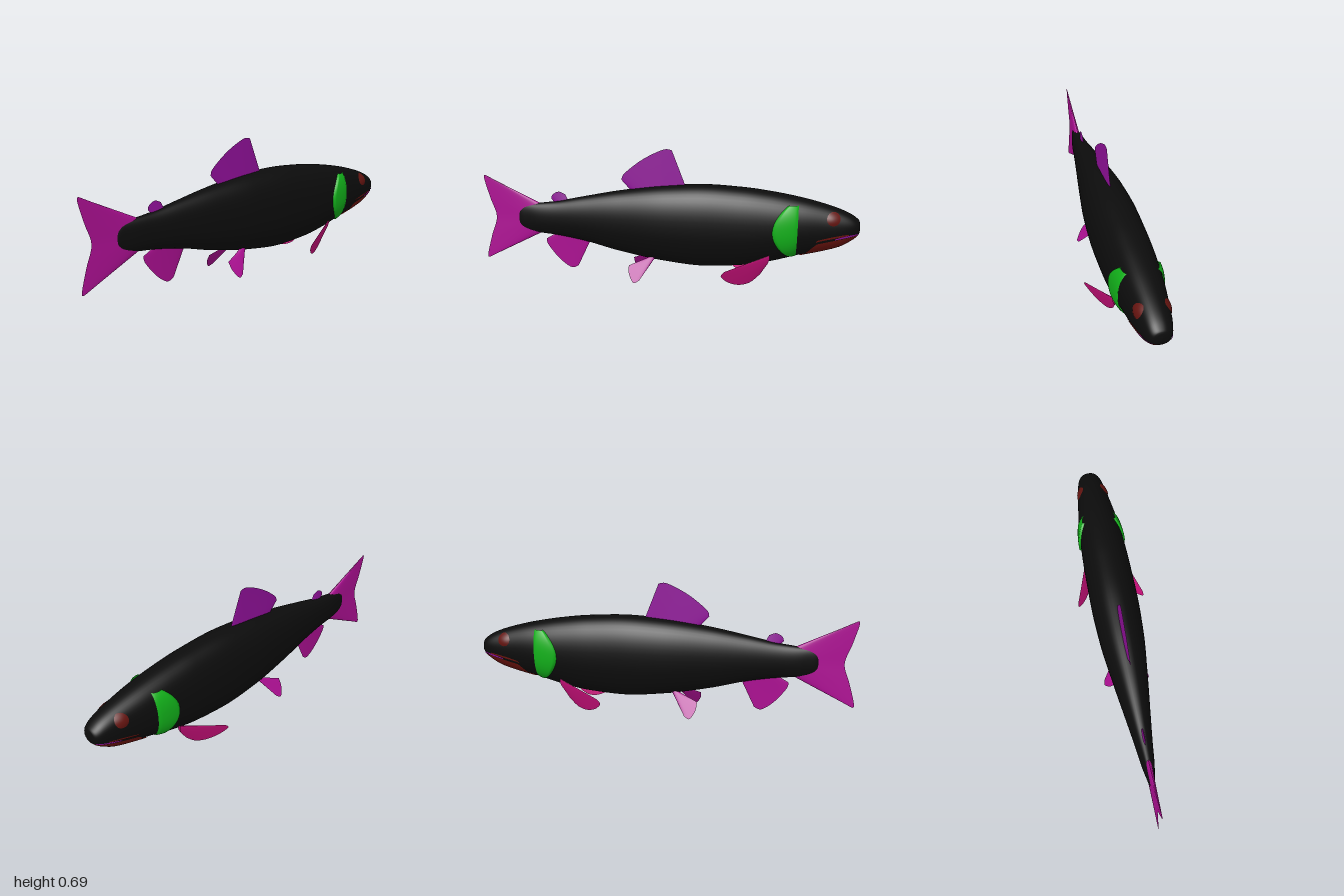
import * as THREE from 'three';
import { mergeGeometries, mergeVertices } from 'three/addons/utils/BufferGeometryUtils.js';

const paint = (name, color) => {
  const m = new THREE.MeshStandardMaterial({ color, side: THREE.DoubleSide });
  m.name = name;
  return m;
};

// Body stations: z, top, bottom, height of the widest point, half width
const STATIONS = [
  [-1, .315, .305, .31, 0], [-.995, .345, .28, .31, .035], [-.98, .36, .262, .31, .052],
  [-.95, .38, .24, .31, .065], [-.9, .402, .212, .308, .077], [-.82, .428, .188, .306, .09],
  [-.7, .458, .16, .305, .107], [-.55, .485, .118, .3, .12], [-.4, .503, .09, .3, .126],
  [-.2, .513, .077, .305, .128], [0, .502, .095, .305, .12], [.25, .468, .14, .305, .092],
  [.45, .43, .19, .305, .065], [.6, .4, .215, .305, .045], [.7, .387, .225, .305, .033],
  [.76, .38, .235, .305, .022], [.8, .36, .255, .305, .013], [.82, .306, .304, .305, 0],
];
const POWER = 2.25;

// Smooth interpolation of the stations, without overshoot
function station(z) {
  const S = STATIONS, last = S.length - 1;
  let i = 0;
  while (i < last - 1 && z > S[i + 1][0]) i++;
  const h = S[i + 1][0] - S[i][0];
  const t = THREE.MathUtils.clamp((z - S[i][0]) / h, 0, 1);
  const secant = (j, k) => (S[j + 1][k] - S[j][k]) / (S[j + 1][0] - S[j][0]);
  const slope = (j, k) => {
    if (j === 0) return secant(0, k);
    if (j === last) return secant(last - 1, k);
    const a = secant(j - 1, k), b = secant(j, k);
    return a * b > 0 ? (2 * a * b) / (a + b) : 0;
  };
  return [1, 2, 3, 4].map((k) =>
    S[i][k] * (2 * t ** 3 - 3 * t * t + 1) + S[i + 1][k] * (3 * t * t - 2 * t ** 3) +
    h * (slope(i, k) * (t ** 3 - 2 * t * t + t) + slope(i + 1, k) * (t ** 3 - t * t)));
}

const bend = (v) => Math.sign(v) * Math.abs(v) ** (2 / POWER);

// Point on a body cross-section; angle 0 is the belly, PI the back
function section(z, angle, grow = 1) {
  const [top, bottom, mid, width] = station(z);
  const c = Math.cos(angle);
  return [width * bend(Math.sin(angle)) * grow,
    mid - (c > 0 ? mid - bottom : top - mid) * bend(c) * grow, z];
}

// Half width of the body at a side position
function skin(z, y) {
  const [top, bottom, mid, width] = station(z);
  const k = Math.min(1, Math.abs(y - mid) / (y > mid ? top - mid : mid - bottom));
  return width * (1 - k ** POWER) ** (1 / POWER);
}

// Grid surface from a rule (u, v) -> [x, y, z]
function sheet(nu, nv, rule) {
  const g = new THREE.PlaneGeometry(1, 1, nu, nv), p = g.attributes.position;
  for (let i = 0; i < p.count; i++) p.setXYZ(i, ...rule(p.getX(i) + .5, p.getY(i) + .5));
  g.deleteAttribute('uv');
  g.deleteAttribute('normal');
  const merged = mergeVertices(g, 1e-5);
  merged.computeVertexNormals();
  return merged;
}

// Thin fin spanned from a root line to a curved edge, points are [z, y]
function fin(root, edge, thick, xAt = () => 0, side = 1) {
  const curve = (pts) => new THREE.SplineCurve(pts.map((q) => new THREE.Vector2(...q)));
  const a = curve(root), b = curve(edge);
  const face = (s) => sheet(28, 12, (u, v) => {
    const q = a.getPoint(u).lerp(b.getPoint(u), v);
    const half = thick * (1 - v) * Math.sqrt(Math.max(0, Math.sin(Math.PI * u)));
    return [side * (xAt(q.y, q.x) + s * half), q.y, q.x];
  });
  return mergeGeometries([face(1), face(-1)]);
}

export function createModel() {
  const model = new THREE.Group();
  model.name = 'fish';
  const black = paint('body black', 0x0c0c0c);
  const green = paint('gill green', 0x12b01a);
  const red = paint('jaw dark red', 0x6e140e);
  const eyeRed = paint('eye dark red', 0x641410);
  const purple = paint('dorsal purple', 0x8f1098);
  const magenta = paint('fin magenta', 0xae1094);
  const pink = paint('pectoral pink', 0xc8107a);
  const violet = paint('lip violet', 0x9a12a8);
  const add = (name, geometry, material) => {
    const mesh = new THREE.Mesh(geometry, material);
    mesh.name = name;
    model.add(mesh);
  };

  // Body, with rings packed closer at both ends
  add('body', sheet(48, 110, (u, v) =>
    section(-.09 - .91 * Math.cos(Math.PI * v), 2 * Math.PI * u)), black);

  // Lower jaw wraps under the chin up to the mouth line
  const mouth = (z) => z < -.78
    ? THREE.MathUtils.mapLinear(z, -.992, -.78, .282, .238)
    : THREE.MathUtils.mapLinear(z, -.78, -.695, .238, .155);
  add('lowerJaw', sheet(24, 30, (u, v) => {
    const z = -.992 + .297 * v, [, bottom, mid] = station(z);
    const k = THREE.MathUtils.clamp((mid - mouth(z)) / (mid - bottom), 0, 1);
    return section(z, (2 * u - 1) * Math.acos(k ** (POWER / 2)), 1.035);
  }), red);

  // Fins along the centre line
  add('tailFin', fin([[.685, .385], [.68, .305], [.685, .225]],
    [[.965, .52], [.998, .526], [.968, .41], [.936, .305], [.968, .2], [.998, .08], [.965, .085]],
    .02), magenta);
  add('dorsalFin', fin([[-.1, .5], [.05, .48], [.19, .47]],
    [[-.027, .688], [.02, .69], [.13, .635], [.225, .56], [.24, .525]], .009), purple);
  add('adiposeFin', fin([[.53, .4], [.57, .39], [.6, .385]],
    [[.55, .44], [.585, .452], [.618, .435], [.626, .412]], .008), purple);
  add('analFin', fin([[.42, .18], [.52, .21], [.61, .22]],
    [[.485, .045], [.525, .033], [.59, .08], [.65, .155], [.66, .19]], .009), magenta);

  for (const side of [1, -1]) {
    const label = side > 0 ? 'left' : 'right';

    // Paired fins
    add(label + 'PectoralFin', fin([[-.545, .172], [-.545, .15], [-.535, .12]],
      [[-.32, .1], [-.303, .075], [-.34, .035], [-.395, .014], [-.45, .023], [-.5, .065]],
      .008, (y, z) => .1 + .32 * (y - .17) + .497 * (z + .54), side), pink);
    add(label + 'PelvicFin', fin([[.05, .128], [.07, .128], [.09, .122]],
      [[.13, .012], [.16, .001], [.187, .04], [.192, .08]],
      .009, (y) => .052 + .63 * (.12 - y), side), magenta);

    // Gill cover flares toward its rear edge
    const front = (v) => -.678 - .006 * v;
    const rear = (v) => -.635 + .082 * Math.sin(Math.PI * v) ** .8;
    add(label + 'GillCover', sheet(12, 24, (u, v) => {
      const z = THREE.MathUtils.lerp(front(v), rear(v), u), y = .16 + .272 * v;
      const lift = .003 + .009 * Math.sqrt(Math.sin(Math.PI * Math.min(1, u * .8)));
      return [side * (skin(z, y) + (u > .99 ? -.002 : lift)), y, z];
    }), green);

    // Eye, a shallow dome on the skin
    add(label + 'Eye', sheet(24, 6, (u, v) => {
      const a = 2 * Math.PI * u, z = -.86 + .034 * v * Math.cos(a), y = .366 + .034 * v * Math.sin(a);
      return [side * (skin(z, y) + .002 + .006 * (1 - v * v)), y, z];
    }), eyeRed);

    // Upper lip strips above the mouth line
    const lip = (z0, z1, rise, tall) => sheet(16, 3, (u, v) => {
      const z = THREE.MathUtils.lerp(z0, z1, u);
      const y = mouth(z) + rise + tall * v * Math.sqrt(Math.sin(Math.PI * (.1 + .8 * u)));
      return [side * (skin(z, y) + .004), y, z];
    });
    add(label + 'Lip', lip(-.99, -.87, .001, .009), violet);
    add(label + 'LipCorner', lip(-.94, -.775, .011, .01), red);
  }
  return model;
}
